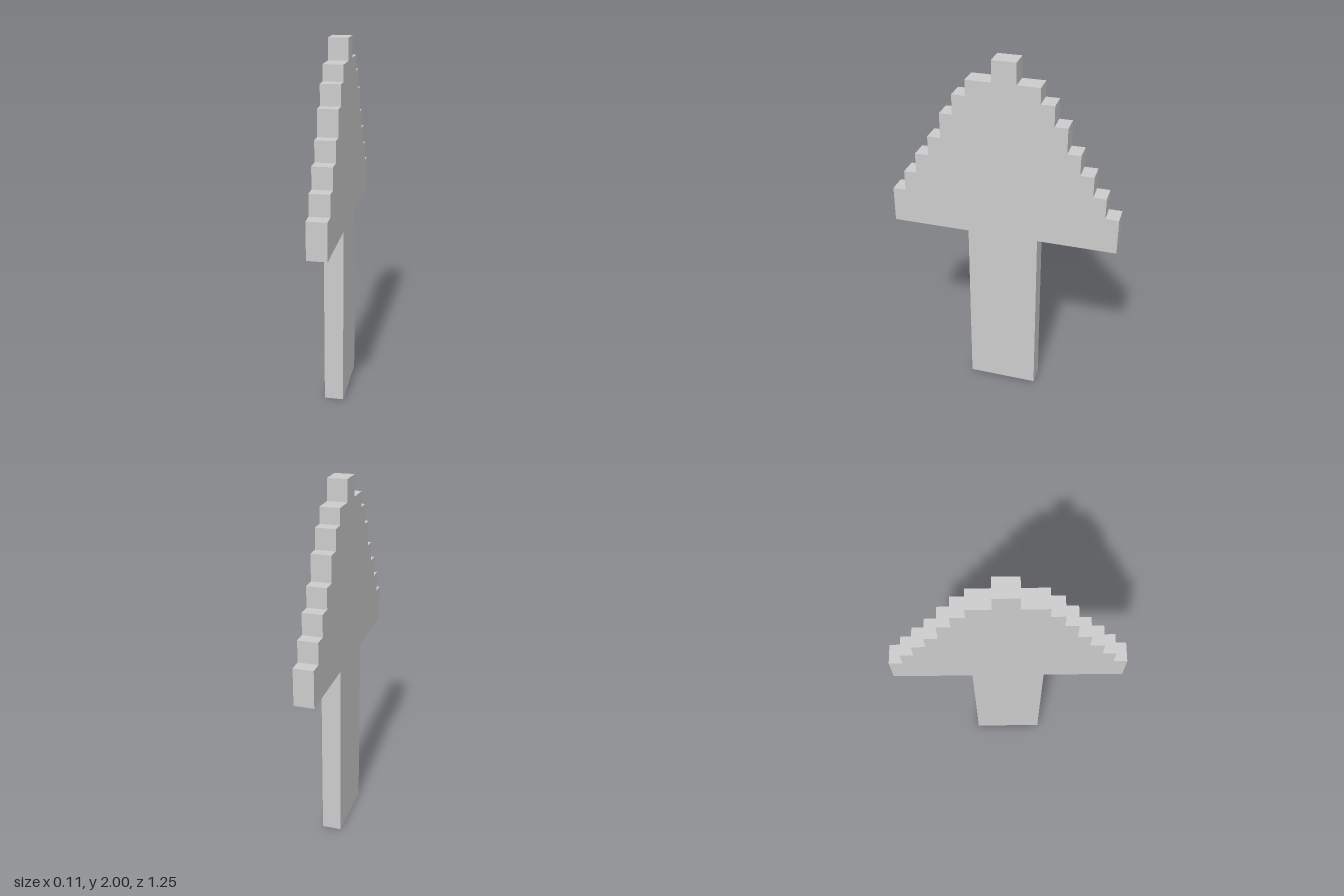
import * as THREE from 'three';

const THICKNESS = 0.106;
const STEM_HALF = 0.195;
const HEAD_BASE = 1.01;

// Stepped tiers of the head: [front z, back z, top y]
const TIERS = [
  [0.626, -0.626, 1.21],
  [0.554, -0.554, 1.325],
  [0.484, -0.484, 1.44],
  [0.409, -0.411, 1.55],
  [0.337, -0.339, 1.69],
  [0.267, -0.269, 1.8],
  [0.194, -0.196, 1.885],
  [0.056, -0.073, 2],
];

export function createModel() {
  const group = new THREE.Group();
  group.name = 'steppedArrow';

  // Outline in the side plane: u runs towards the back, v runs up
  const outline = [[-STEM_HALF, 0], [STEM_HALF, 0], [STEM_HALF, HEAD_BASE]];
  let y = HEAD_BASE;
  for (const [, back, top] of TIERS) {
    outline.push([-back, y], [-back, top]);
    y = top;
  }
  // Down the front steps
  for (let i = TIERS.length - 1; i >= 0; i--) {
    const [front, , top] = TIERS[i];
    const bottom = i > 0 ? TIERS[i - 1][2] : HEAD_BASE;
    outline.push([-front, top], [-front, bottom]);
  }
  outline.push([-STEM_HALF, HEAD_BASE]);

  // One flat slab, turned so its thickness lies along x
  const shape = new THREE.Shape(outline.map(([u, v]) => new THREE.Vector2(u, v)));
  const geometry = new THREE.ExtrudeGeometry(shape, { depth: THICKNESS, bevelEnabled: false });
  geometry.translate(0, 0, -THICKNESS / 2);
  geometry.rotateY(Math.PI / 2);

  const slab = new THREE.Mesh(
    geometry,
    new THREE.MeshStandardMaterial({ color: 0xcccccc, flatShading: true })
  );
  slab.name = 'arrowSlab';
  group.add(slab);
  return group;
}
